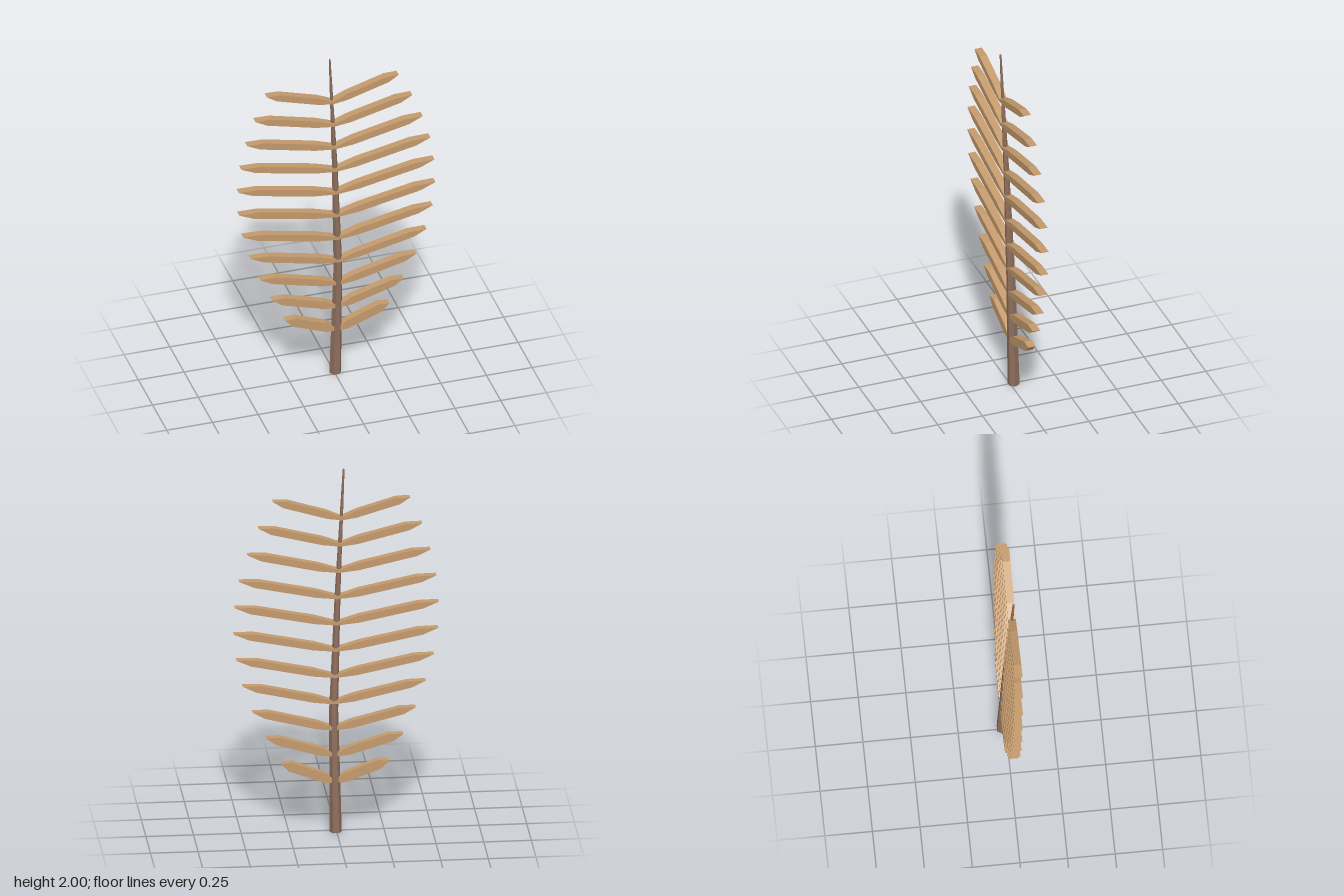
import * as THREE from 'three';

// Stem centre line (x, y, z) and radius at each bend
const STEM = [
  [0.005, 0, -0.018, 0.032],
  [0.014, 0.67, 0.001, 0.024],
  [-0.009, 1.33, 0.018, 0.015],
  [-0.042, 2, 0.037, 0.005],
];

// Horizontal reach of each leaflet pair, lowest first
const REACH = [0.284, 0.36, 0.428, 0.481, 0.519, 0.5375, 0.536, 0.518, 0.481, 0.43, 0.361];

function stemAt(y) {
  let i = 0;
  while (i < STEM.length - 2 && y > STEM[i + 1][1]) i++;
  const a = STEM[i], b = STEM[i + 1];
  const t = (y - a[1]) / (b[1] - a[1]);
  return a.map((v, k) => v + (b[k] - v) * t);
}

// Six-sided tapering stem, bent to follow the centre line
function stemGeometry() {
  const geo = new THREE.CylinderGeometry(1, 1, 2, 6, 3);
  geo.rotateY(Math.PI / 6 * 3);
  const p = geo.attributes.position;
  for (let i = 0; i < p.count; i++) {
    const level = Math.round((p.getY(i) + 1) * 1.5);
    const [cx, cy, cz, r] = STEM[level];
    p.setXYZ(i, cx + p.getX(i) * r, cy, cz + p.getZ(i) * r);
  }
  geo.computeVertexNormals();
  return geo;
}

// Flat pointed leaflet reaching sideways and up from the origin
function leafletGeometry(side, reach, half) {
  const rise = 0.107, depth = 0.041;
  const at = (t, off) => new THREE.Vector2(side * reach * t, rise * t + off);
  const shape = new THREE.Shape([
    at(0, -0.008), at(0.22, -half), at(0.85, -half),
    at(1, 0), at(0.8, half), at(0.22, half), at(0, 0.008),
  ]);
  const geo = new THREE.ExtrudeGeometry(shape, { depth, bevelEnabled: false });
  geo.translate(0, 0, -depth / 2);
  return geo;
}

export function createModel() {
  const bark = new THREE.MeshStandardMaterial({ color: 0x8d6e5c, flatShading: true });
  bark.name = 'brown stem';
  const leaf = new THREE.MeshStandardMaterial({ color: 0xc49a6c, flatShading: true });
  leaf.name = 'dry tan leaf';

  const model = new THREE.Group();
  model.name = 'driedFrond';

  const stem = new THREE.Mesh(stemGeometry(), bark);
  stem.name = 'stem';
  model.add(stem);

  // Paired leaflets up the stem
  REACH.forEach((reach, i) => {
    const y = 0.282 + i * 0.145;
    const [x, , z] = stemAt(y);
    const half = [0.027, 0.023, 0.021][i] ?? 0.0195;
    for (const side of [1, -1]) {
      const leaflet = new THREE.Mesh(leafletGeometry(side, reach, half), leaf);
      leaflet.name = side > 0 ? 'leftLeaflet' : 'rightLeaflet';
      leaflet.position.set(x, y, z);
      model.add(leaflet);
    }
  });

  return model;
}
